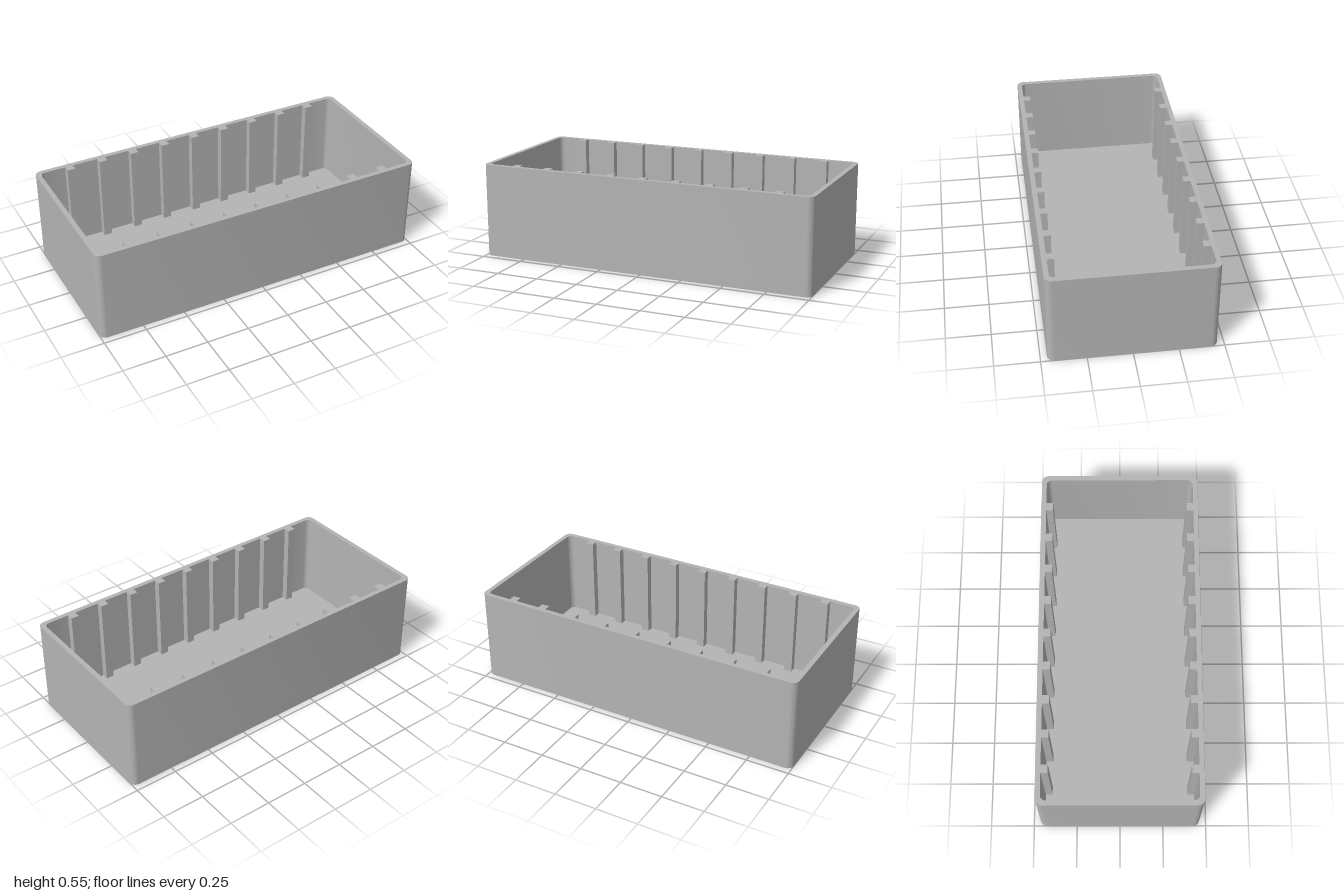
import * as THREE from 'three';
import { toCreasedNormals } from 'three/addons/utils/BufferGeometryUtils.js';

const HALF_X = 1, HALF_Z = 0.463, HEIGHT = 0.55;
const WALL = 0.028, FLOOR = 0.03, RADIUS = 0.038;
const RIBS = 9, RIB_STEP = 0.199, RIB_WIDTH = 0.048, RIB_DEPTH = 0.04;

// Rounded rectangle; with ribs, square teeth point inward from both long sides
function outline(path, hx, hz, r, ribs = 0) {
  const teeth = (dir) => {
    for (let i = 0; i < ribs; i++) {
      const x = dir * (i - (ribs - 1) / 2) * RIB_STEP;
      const a = x - dir * RIB_WIDTH / 2, b = x + dir * RIB_WIDTH / 2;
      const edge = -dir * hz, tip = -dir * (hz - RIB_DEPTH);
      path.lineTo(a, edge).lineTo(a, tip).lineTo(b, tip).lineTo(b, edge);
    }
  };
  path.moveTo(-hx + r, -hz);
  teeth(1);
  path.lineTo(hx - r, -hz);
  path.absarc(hx - r, -hz + r, r, -Math.PI / 2, 0, false);
  path.lineTo(hx, hz - r);
  path.absarc(hx - r, hz - r, r, 0, Math.PI / 2, false);
  teeth(-1);
  path.lineTo(-hx + r, hz);
  path.absarc(-hx + r, hz - r, r, Math.PI / 2, Math.PI, false);
  path.lineTo(-hx, -hz + r);
  path.absarc(-hx + r, -hz + r, r, Math.PI, Math.PI * 1.5, false);
  return path;
}

// Upright extrusion from height y0 to y1
function slab(name, shape, y0, y1, material) {
  const geo = new THREE.ExtrudeGeometry(shape, { depth: y1 - y0, bevelEnabled: false, curveSegments: 10 });
  geo.rotateX(-Math.PI / 2).translate(0, y0, 0);
  const mesh = new THREE.Mesh(toCreasedNormals(geo, Math.PI / 6), material);
  mesh.name = name;
  return mesh;
}

export function createModel() {
  const grey = new THREE.MeshStandardMaterial({ color: 0xb4b4b4 });
  grey.name = 'grey plastic';
  const group = new THREE.Group();
  group.name = 'slottedTray';

  // Solid base plate
  const base = outline(new THREE.Shape(), HALF_X, HALF_Z, RADIUS);
  group.add(slab('floor', base, 0, FLOOR, grey));

  // Wall ring with divider ribs running to the rim
  const ring = outline(new THREE.Shape(), HALF_X, HALF_Z, RADIUS);
  ring.holes.push(outline(new THREE.Path(), HALF_X - WALL, HALF_Z - WALL, 0.03, RIBS));
  group.add(slab('ribbedWalls', ring, FLOOR, HEIGHT, grey));

  return group;
}
